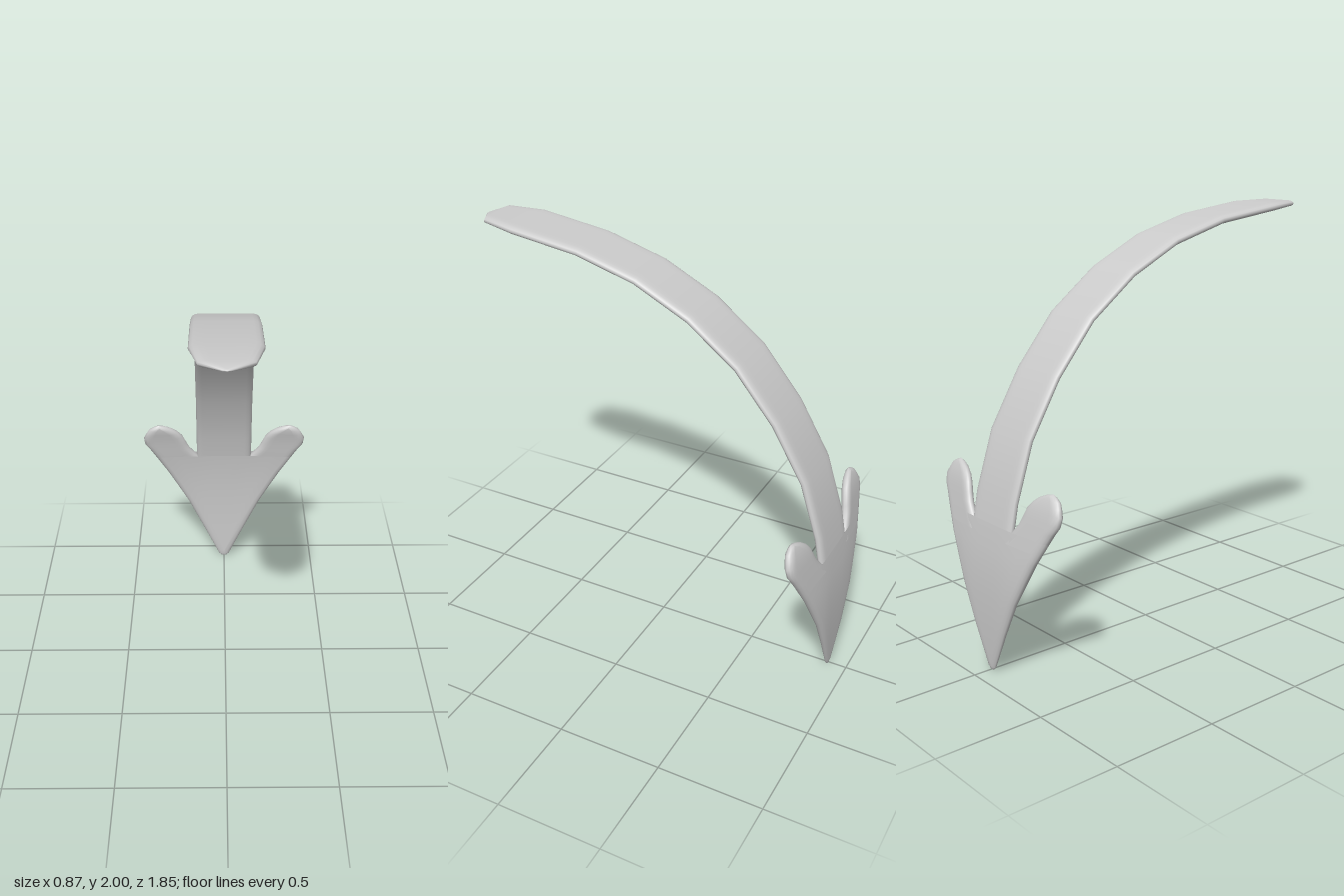
import * as THREE from 'three';

// Centre line of the bent arrow as [z, y], from the head's point to the shaft's end
const PATH = [
  [-0.905, 0], [-0.908, 0.2], [-0.907, 0.37], [-0.888, 0.6], [-0.85, 0.8], [-0.765, 1.065],
  [-0.615, 1.32], [-0.425, 1.55], [-0.19, 1.728], [0.07, 1.855], [0.36, 1.934],
  [0.7, 1.976], [0.87, 1.986], [0.92, 1.981], [0.925, 1.98],
].map(([z, y]) => new THREE.Vector2(z, y));

const TANGENTS = PATH.map((p, i) =>
  PATH[Math.min(i + 1, PATH.length - 1)].clone().sub(PATH[Math.max(i - 1, 0)]).normalize());

// Position and outward normal at a fractional index of the path
function frame(k) {
  const i = Math.min(Math.floor(k), PATH.length - 2);
  const p = PATH[i].clone().lerp(PATH[i + 1], k - i);
  const t = TANGENTS[i].clone().lerp(TANGENTS[i + 1], k - i).normalize();
  return { p, n: new THREE.Vector2(-t.y, t.x) };
}

// Fractional index of the path at height y
function indexAt(y) {
  let i = 0;
  while (i < PATH.length - 2 && PATH[i + 1].y < y) i++;
  return i + (y - PATH[i].y) / (PATH[i + 1].y - PATH[i].y);
}

// Flat cross-section with rounded sides, as counter-clockwise [x, thickness] pairs
function ring(a, b, t) {
  const r = Math.min(0.035, (b - a) / 2), arc = 6, cols = 8, pts = [];
  for (const s of [1, -1]) {
    const side = s > 0 ? b - r : a + r, other = s > 0 ? a + r : b - r;
    for (let j = 0; j <= arc; j++) {
      const q = -Math.PI / 2 + (Math.PI * j) / arc;
      pts.push([side + s * r * Math.cos(q), s * t * Math.sin(q)]);
    }
    for (let j = 1; j < cols; j++) pts.push([side + ((other - side) * j) / cols, s * t]);
  }
  return pts;
}

// Skin over sections [path index, left edge, right edge, half thickness]
function loft(name, sections, material) {
  const pos = [], index = [];
  let count = 0;
  for (const [k, a, b, t] of sections) {
    const { p, n } = frame(k);
    const pts = ring(a, b, t);
    count = pts.length;
    for (const [x, h] of pts) {
      // the barbs lean slightly forward
      const lean = 0.07 * Math.max(0, Math.abs(x) - 0.15);
      pos.push(x, p.y + n.y * h, p.x + n.x * h + lean);
    }
  }
  for (let i = 0; i < sections.length - 1; i++) {
    for (let j = 0; j < count; j++) {
      const j2 = (j + 1) % count;
      const p = i * count + j, q = i * count + j2;
      index.push(p, q, q + count, p, q + count, p + count);
    }
  }
  const g = new THREE.BufferGeometry();
  g.setAttribute('position', new THREE.Float32BufferAttribute(pos, 3));
  g.setIndex(index);
  g.computeVertexNormals();
  const mesh = new THREE.Mesh(g, material);
  mesh.name = name;
  return mesh;
}

export function createModel() {
  const group = new THREE.Group();
  group.name = 'curvedArrow';
  const material = new THREE.MeshStandardMaterial({ color: 0xcccccc, side: THREE.DoubleSide });

  // Shaft: constant width with a blunt pointed end
  const shaft = PATH.map((p, i) => [i, -0.15, 0.15, 0.019]).slice(3);
  const n = shaft.length;
  shaft[n - 3] = [PATH.length - 3, -0.113, 0.113, 0.014];
  shaft[n - 2] = [PATH.length - 2, -0.02, 0.02, 0.006];
  shaft[n - 1] = [PATH.length - 1, 0, 0, 0];
  group.add(loft('shaft', shaft, material));

  // Head: [height, half width, half thickness]
  const head = [
    [0, 0, 0], [0.002, 0.015, 0.006], [0.014, 0.028, 0.009], [0.035, 0.038, 0.011],
    [0.2, 0.118, 0.017], [0.37, 0.2, 0.02], [0.48, 0.26, 0.022], [0.58, 0.316, 0.022],
    [0.685, 0.378, 0.022],
  ].map(([y, w, t]) => [indexAt(y), -w, w, t]);
  group.add(loft('head', head, material));

  // Barbs: [height, inner edge, outer edge, half thickness]
  const barb = [
    [0.63, 0.1, 0.343, 0.021], [0.685, 0.15, 0.378, 0.022], [0.73, 0.188, 0.405, 0.022],
    [0.77, 0.207, 0.432, 0.022], [0.81, 0.225, 0.437, 0.022], [0.84, 0.25, 0.422, 0.021],
    [0.865, 0.283, 0.407, 0.019], [0.882, 0.32, 0.38, 0.013], [0.89, 0.352, 0.358, 0],
  ];
  group.add(loft('leftBarb', barb.map(([y, a, b, t]) => [indexAt(y), a, b, t]), material));
  group.add(loft('rightBarb', barb.map(([y, a, b, t]) => [indexAt(y), -b, -a, t]), material));
  return group;
}
